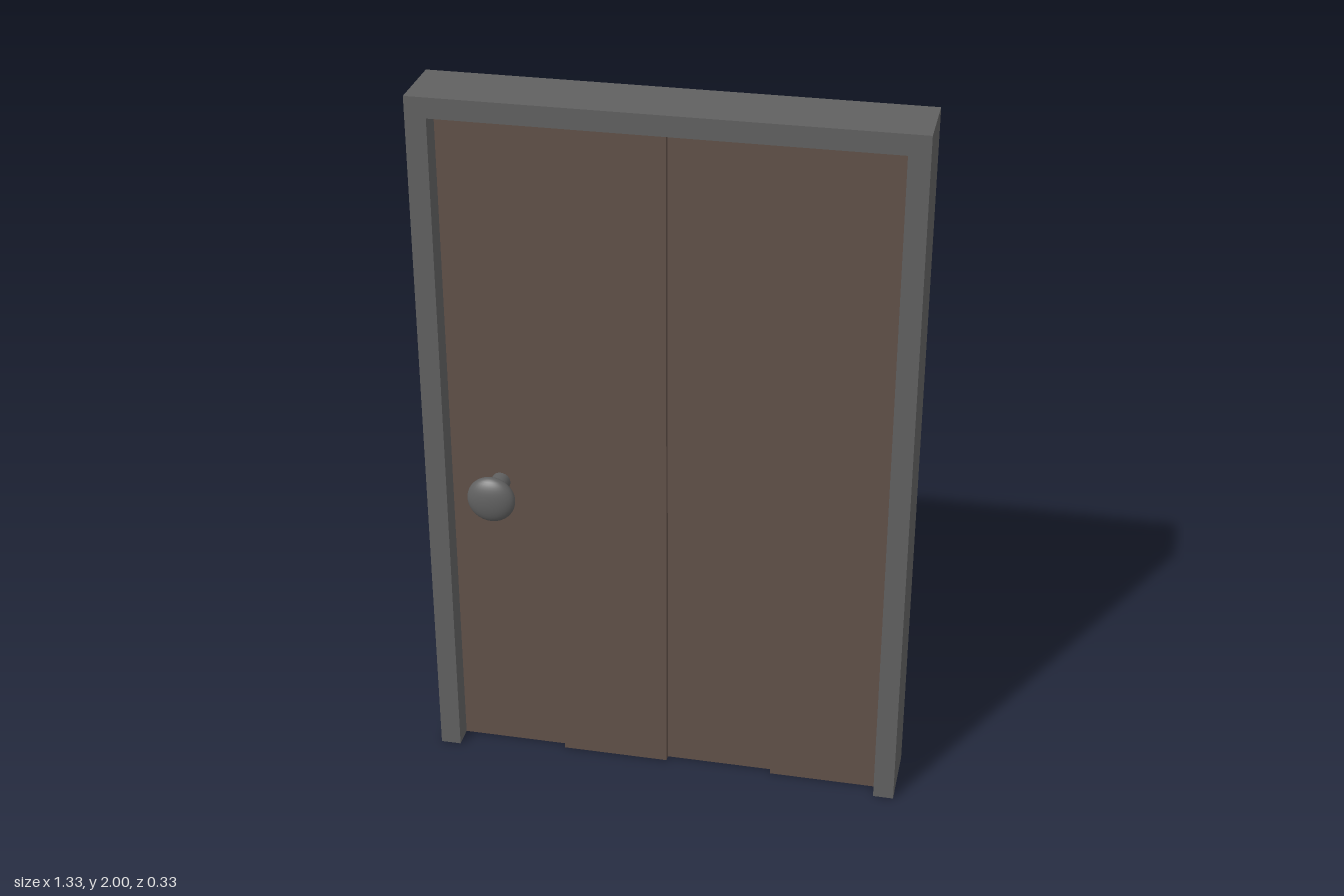
import * as THREE from 'three';

const W = 0.665, H = 2, D = 0.098;      // frame half width, height, half depth
const IN = 0.608, TOP = 1.944;          // opening half width and height

export function createModel() {
  const door = new THREE.Group();
  door.name = 'door';
  const metal = new THREE.MeshStandardMaterial({ color: 0x606060 });
  const wood = new THREE.MeshStandardMaterial({ color: 0x605048 });

  const add = (name, geometry, material, parent = door) => {
    const mesh = new THREE.Mesh(geometry, material);
    mesh.name = name;
    parent.add(mesh);
    return mesh;
  };

  // Frame: two posts and a lintel in one outline, open at the floor
  const outline = new THREE.Shape([
    [-W, 0], [-IN, 0], [-IN, TOP], [IN, TOP], [IN, 0], [W, 0], [W, H], [-W, H],
  ].map(([x, y]) => new THREE.Vector2(x, y)));
  const frame = new THREE.ExtrudeGeometry(outline, { depth: 2 * D, bevelEnabled: false });
  frame.translate(0, 0, -D);
  add('frame', frame, metal);

  // Four planks, alternately thin and thick
  const plankWidth = (2 * IN) / 4;
  for (let i = 0; i < 4; i++) {
    const thickness = i % 2 ? 0.108 : 0.07;
    const plank = add(`plank${i + 1}`, new THREE.BoxGeometry(plankWidth, TOP, thickness), wood);
    plank.position.set(-IN + (i + 0.5) * plankWidth, TOP / 2, 0);
  }

  // A flattened knob on a short stem, on both faces
  for (const side of [1, -1]) {
    const handle = new THREE.Group();
    handle.name = side > 0 ? 'frontHandle' : 'backHandle';
    handle.position.set(-0.47, 0.87, 0);
    const stem = add('stem', new THREE.CylinderGeometry(0.027, 0.027, 0.1, 24), metal, handle);
    stem.rotation.x = Math.PI / 2;
    stem.position.z = side * 0.08;
    const knob = add('knob', new THREE.SphereGeometry(0.067, 32, 20), metal, handle);
    knob.scale.z = 0.48;
    knob.position.z = side * 0.134;
    door.add(handle);
  }
  return door;
}
